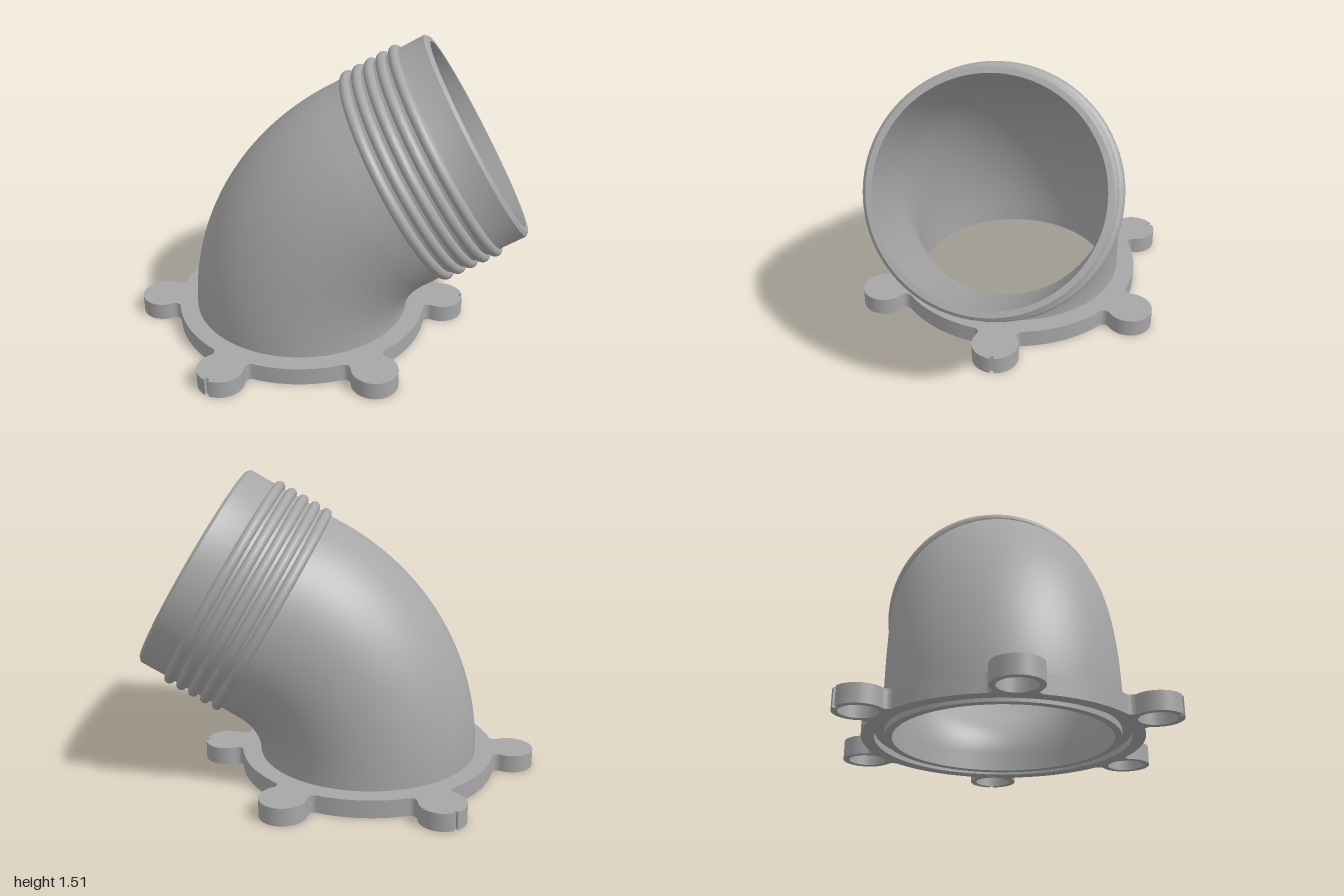
import * as THREE from 'three';
import { toCreasedNormals } from 'three/addons/utils/BufferGeometryUtils.js';

const BASE_X = -0.146;       // axis of the base opening
const FLANGE_H = 0.09;
const OUTER = 0.557, BORE = 0.51;
const BEND_R = 0.762, BEND = Math.PI / 3;
const DISC_R = 0.65, LOBE_D = 0.739, LOBE_R = 0.115, FILLET = 0.03;

// Points along an arc
function arc(cx, cy, r, a0, a1, n) {
  return Array.from({ length: n + 1 }, (_, i) => {
    const a = a0 + (a1 - a0) * i / n;
    return new THREE.Vector2(cx + r * Math.cos(a), cy + r * Math.sin(a));
  });
}

// Flange outline: disc with six filleted lobes, every other one notched
function flangeOutline() {
  const cd = DISC_R + FILLET, cl = LOBE_R + FILLET;
  const cu = (LOBE_D ** 2 + cd ** 2 - cl ** 2) / (2 * LOBE_D);
  const cv = Math.sqrt(cd ** 2 - cu ** 2);
  const discA = Math.atan2(cv, cu);              // disc end of the fillet
  const lobeA = Math.atan2(cv, cu - LOBE_D);     // lobe end of the fillet
  const outline = [];
  for (let i = 0; i < 6; i++) {
    const notch = 0.09;
    const tip = LOBE_D + LOBE_R - 0.016;
    const lobe = i % 2 === 0
      ? [...arc(LOBE_D, 0, LOBE_R, -lobeA, -notch, 16),
        new THREE.Vector2(tip, -0.01), new THREE.Vector2(tip, 0.01),
        ...arc(LOBE_D, 0, LOBE_R, notch, lobeA, 16)]
      : arc(LOBE_D, 0, LOBE_R, -lobeA, lobeA, 34);
    const local = [
      ...arc(cu, -cv, FILLET, Math.PI - discA, Math.PI - lobeA, 7),
      ...lobe.slice(1, -1),
      ...arc(cu, cv, FILLET, lobeA - Math.PI, discA - Math.PI, 7),
      ...arc(0, 0, DISC_R, discA, Math.PI / 3 - discA, 14).slice(1, -1),
    ];
    const origin = new THREE.Vector2();
    local.forEach(p => outline.push(p.rotateAround(origin, i * Math.PI / 3)));
  }
  return outline;
}

function circleHole(x, y, r, n) {
  return new THREE.Path(arc(x, y, r, 0, Math.PI * 2, n).slice(0, -1));
}

// Horizontal plate extruded between two heights
function plate(shape, y0, y1) {
  const geo = new THREE.ExtrudeGeometry(shape, { depth: y1 - y0, bevelEnabled: false });
  geo.rotateX(-Math.PI / 2).translate(BASE_X, y0, 0);
  return toCreasedNormals(geo, 0.5);
}

export function createModel() {
  const model = new THREE.Group();
  model.name = 'pipeElbow';
  const grey = new THREE.MeshStandardMaterial({ color: 0xa6a6a6 });
  grey.name = 'grey';
  const greyInside = grey.clone();
  greyInside.side = THREE.BackSide;

  const add = (parent, name, geo, mat = grey) => {
    const mesh = new THREE.Mesh(geo, mat);
    mesh.name = name;
    parent.add(mesh);
    return mesh;
  };

  // Flange in layers: seal groove and blind lobe sockets open downwards
  const flange = new THREE.Group();
  flange.name = 'flange';
  model.add(flange);
  const layer = (boreR, sockets) => {
    const shape = new THREE.Shape(flangeOutline());
    shape.holes.push(circleHole(0, 0, boreR, 96));
    for (let i = 0; sockets && i < 6; i++) {
      const a = i * Math.PI / 3;
      shape.holes.push(circleHole(LOBE_D * Math.cos(a), LOBE_D * Math.sin(a), 0.087, 32));
    }
    return shape;
  };
  add(flange, 'flangeBottom', plate(layer(0.59, true), 0, 0.03));
  add(flange, 'flangeMiddle', plate(layer(BORE, true), 0.03, 0.065));
  add(flange, 'flangeTop', plate(layer(BORE, false), 0.065, FLANGE_H));
  const lip = new THREE.Shape(arc(0, 0, 0.545, 0, Math.PI * 2, 96).slice(0, -1));
  lip.holes.push(circleHole(0, 0, BORE, 96));
  add(flange, 'sealLip', plate(lip, 0, 0.03));

  // Sixty degree bend, outer wall and bore
  const bend = r => new THREE.TorusGeometry(BEND_R, r, 96, 48, BEND)
    .rotateZ(Math.PI - BEND)
    .translate(BASE_X + BEND_R, FLANGE_H, 0);
  add(model, 'bendOuterWall', bend(OUTER));
  add(model, 'bendBore', bend(BORE), greyInside);

  // Straight spigot with five round ribs and a chamfered rim
  const profile = [new THREE.Vector2(OUTER, 0)];
  for (let i = 0; i < 5; i++) {
    profile.push(...arc(OUTER - 0.002, 0.13 + i * 0.067, 0.026, -Math.PI / 2, Math.PI / 2, 10));
  }
  profile.push(
    new THREE.Vector2(0.553, 0.43),
    new THREE.Vector2(0.553, 0.56),
    new THREE.Vector2(0.537, 0.575),
    new THREE.Vector2(BORE, 0.575),
    new THREE.Vector2(BORE, 0),
  );
  const spigot = add(model, 'ribbedSpigot',
    toCreasedNormals(new THREE.LatheGeometry(profile, 96), 0.5));
  spigot.rotation.z = -BEND;
  spigot.position.set(
    BASE_X + BEND_R * (1 - Math.cos(BEND)),
    FLANGE_H + BEND_R * Math.sin(BEND), 0);

  return model;
}
